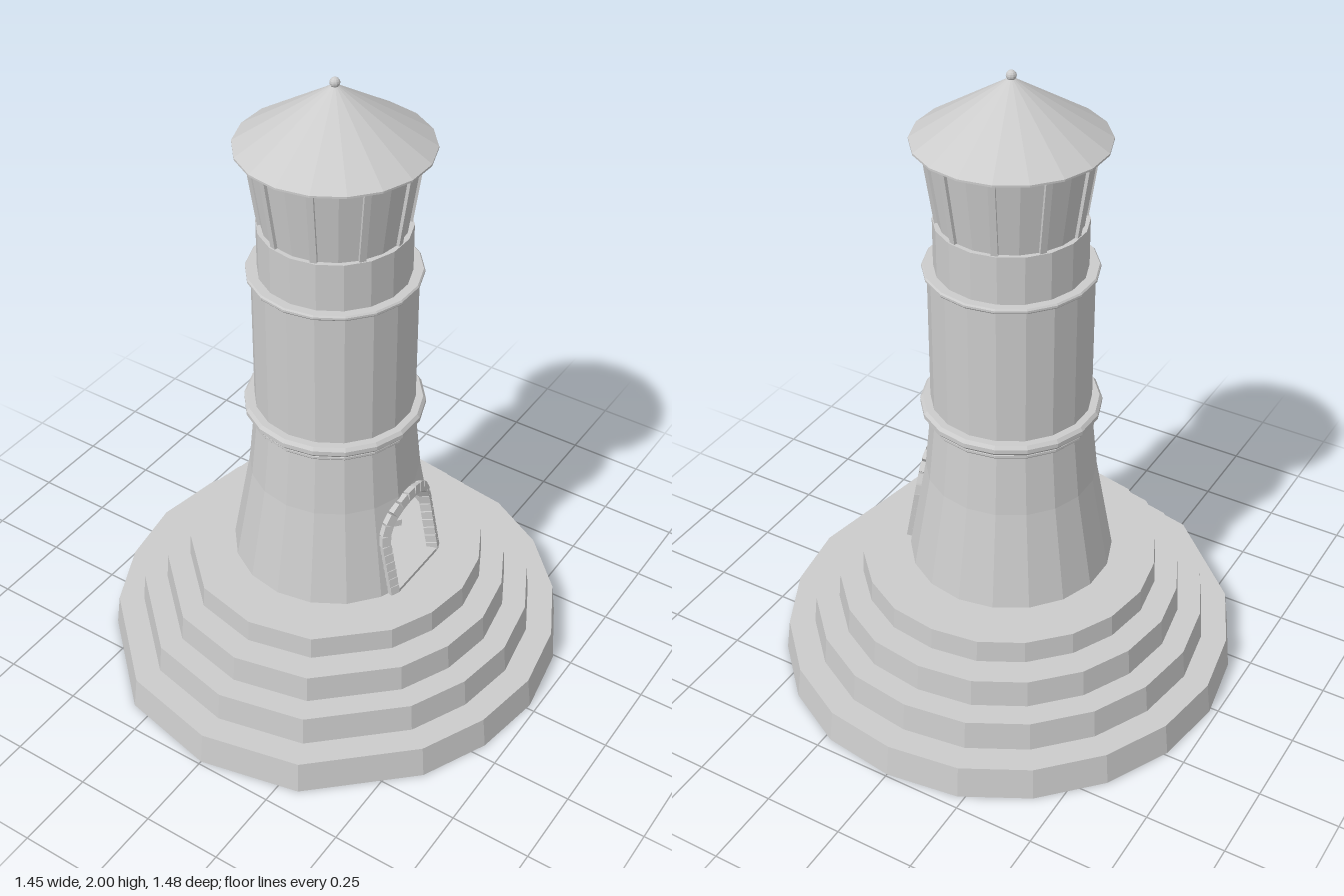
import * as THREE from 'three';

const SIDES = 18;
const mat = new THREE.MeshStandardMaterial({ color: 0xcccccc, flatShading: true, side: THREE.DoubleSide });

function add(parent, name, geometry) {
  const mesh = new THREE.Mesh(geometry, mat);
  mesh.name = name;
  parent.add(mesh);
  return mesh;
}

const lathe = (points, sides = SIDES) =>
  new THREE.LatheGeometry(points.map(([r, y]) => new THREE.Vector2(r, y)), sides);

// Half outline of the uneven stepped base, from front (+z) round to back
const PLAN = [[0, 0.74], [0.312, 0.672], [0.593, 0.41], [0.69, 0.206], [0.727, -0.016],
  [0.69, -0.24], [0.589, -0.439], [0.427, -0.605], [0.229, -0.711], [0, -0.743]];

// A tier is an 18-sided drum whose corners are moved onto the outline
function tier(scale, taper, y0, y1) {
  const geo = new THREE.CylinderGeometry(1, 1, y1 - y0, SIDES);
  geo.translate(0, (y0 + y1) / 2, 0);
  const p = geo.attributes.position;
  for (let i = 0; i < p.count; i++) {
    const x = p.getX(i), z = p.getZ(i);
    if (Math.hypot(x, z) < 0.5) continue;
    const k = Math.round(Math.abs(Math.atan2(x, z)) / (Math.PI * 2 / SIDES));
    const s = p.getY(i) > (y0 + y1) / 2 ? scale * taper : scale;
    p.setX(i, Math.sign(x) * PLAN[k][0] * s);
    p.setZ(i, PLAN[k][1] * s);
  }
  return geo;
}

// Flared lower tower: radius by height, and by angle on the 18-sided plan
const FLOOR = 0.375, BREAK = 0.69, WALL_TOP = 0.9, SPRING = 0.553;
const radius = y => y < BREAK
  ? THREE.MathUtils.mapLinear(y, FLOOR, BREAK, 0.32, 0.264)
  : THREE.MathUtils.mapLinear(y, BREAK, WALL_TOP, 0.264, 0.243);
const deg = THREE.MathUtils.degToRad;

function wallPoint(angle, y) {
  const off = ((angle + 10) % 20 + 20) % 20 - 10;
  const r = radius(y) * Math.cos(deg(10)) / Math.cos(deg(off));
  return [r * Math.cos(deg(angle)), y, r * Math.sin(deg(angle))];
}

// Wall strips round the tower; those over the doorway start at the arch
function lowerWall() {
  const door = 23, pos = [];
  const archY = a => SPRING + 0.118 * Math.sqrt(Math.max(0, 1 - (a / door) ** 2));
  const strip = (a, b, ya, yb) => {
    const rowsA = [ya, BREAK, WALL_TOP], rowsB = [yb, BREAK, WALL_TOP];
    for (let i = 0; i < 2; i++) {
      const p = wallPoint(a, rowsA[i]), q = wallPoint(b, rowsB[i]);
      const r = wallPoint(b, rowsB[i + 1]), s = wallPoint(a, rowsA[i + 1]);
      pos.push(...p, ...r, ...q, ...p, ...s, ...r);
    }
  };
  const cuts = [-23, -22, -20, -17, -14, -10, -5, 0, 5, 10, 14, 17, 20, 22, 23];
  for (let i = 0; i + 1 < cuts.length; i++) strip(cuts[i], cuts[i + 1], archY(cuts[i]), archY(cuts[i + 1]));
  const round = [door];
  for (let a = 30; a <= 330; a += 20) round.push(a);
  round.push(360 - door);
  for (let i = 0; i + 1 < round.length; i++) strip(round[i], round[i + 1], FLOOR, FLOOR);
  const geo = new THREE.BufferGeometry();
  geo.setAttribute('position', new THREE.Float32BufferAttribute(pos, 3));
  geo.computeVertexNormals();
  return geo;
}

// Stone surround, each block laid against the curved, leaning wall
function doorSurround() {
  const group = new THREE.Group();
  group.name = 'doorSurround';
  const mid = 0.121;
  const stone = (z, y, length, turn) => {
    const mesh = add(group, 'doorStone', new THREE.BoxGeometry(0.035, length, 0.031));
    const r = radius(y) - 0.002, a = Math.asin(z / r);
    mesh.position.set(r * Math.cos(a), y, z);
    mesh.rotation.set(turn, -a, 0.18, 'YZX');
  };
  const rows = 6, rise = (SPRING - FLOOR) / rows;
  for (const side of [-1, 1])
    for (let i = 0; i < rows; i++) stone(side * mid, FLOOR + (i + 0.5) * rise, rise * 0.94, 0);
  const blocks = 11;
  for (let i = 0; i < blocks; i++) {
    const t = Math.PI * (i + 0.5) / blocks;
    stone(mid * Math.cos(t), SPRING + mid * Math.sin(t), 0.033, -t);
  }
  add(group, 'doorSill', new THREE.BoxGeometry(0.03, 0.012, 0.22)).position.set(0.297, FLOOR + 0.006, 0);
  return group;
}

// Spiral stair seen through the doorway
function spiralStair() {
  const group = new THREE.Group();
  group.name = 'spiralStair';
  add(group, 'stairPost', new THREE.CylinderGeometry(0.015, 0.015, 0.53, 8)).position.y = 0.64;
  for (let i = 0; i < 20; i++) {
    const a = deg(-50 - i * 15), y = FLOOR + 0.02 + i * 0.024;
    const step = add(group, 'stairStep', new THREE.BoxGeometry(0.2, 0.024, 0.06));
    step.position.set(0.115 * Math.cos(a), y, 0.115 * Math.sin(a));
    step.rotation.y = -a;
  }
  return group;
}

// Glazed lantern flaring outward, with ten glazing posts
function lantern() {
  const group = new THREE.Group();
  group.name = 'lantern';
  add(group, 'lanternPanes', lathe([[0.21, 1.55], [0.246, 1.8]], 20));
  for (let i = 0; i < 10; i++) {
    const pivot = new THREE.Group();
    pivot.name = 'glazingPost';
    pivot.rotation.y = i * Math.PI / 5;
    const bar = add(pivot, 'postBar', new THREE.BoxGeometry(0.014, 0.25, 0.02));
    bar.position.set(0.229, 1.675, 0);
    bar.rotation.z = -0.143;
    group.add(pivot);
  }
  return group;
}

export function createModel() {
  const model = new THREE.Group();
  model.name = 'lighthouse';

  // Stepped base; the top tier sits just clear of the one below
  [[1, 0.982, 0, 0.105], [0.87, 0.985, 0.105, 0.2], [0.756, 0.987, 0.2, 0.29], [0.646, 0.99, 0.302, FLOOR]]
    .forEach(t => add(model, 'baseTier', tier(...t)));

  // Tower
  add(model, 'lowerTower', lowerWall());
  model.add(doorSurround(), spiralStair());
  add(model, 'upperTower', lathe([[0.243, WALL_TOP], [0.243, 1.4], [0.224, 1.4], [0.224, 1.55], [0, 1.55]]));

  // Moulded bands: centre height, outer radius, half height
  for (const [y, r, h] of [[0.93, 0.274, 0.017], [0.904, 0.262, 0.009], [1.396, 0.258, 0.008]]) {
    add(model, 'band', lathe([[0.235, y - h], [r - h * 0.5, y - h], [r, y - h * 0.4],
      [r, y + h * 0.4], [r - h * 0.5, y + h], [0.235, y + h]]));
  }

  // Lantern, roof and finial
  model.add(lantern());
  add(model, 'roof', lathe([[0, 1.8], [0.24, 1.8], [0.283, 1.795], [0.283, 1.801], [0, 1.982]]));
  add(model, 'finial', new THREE.SphereGeometry(0.015, 10, 8)).position.y = 1.985;
  return model;
}
